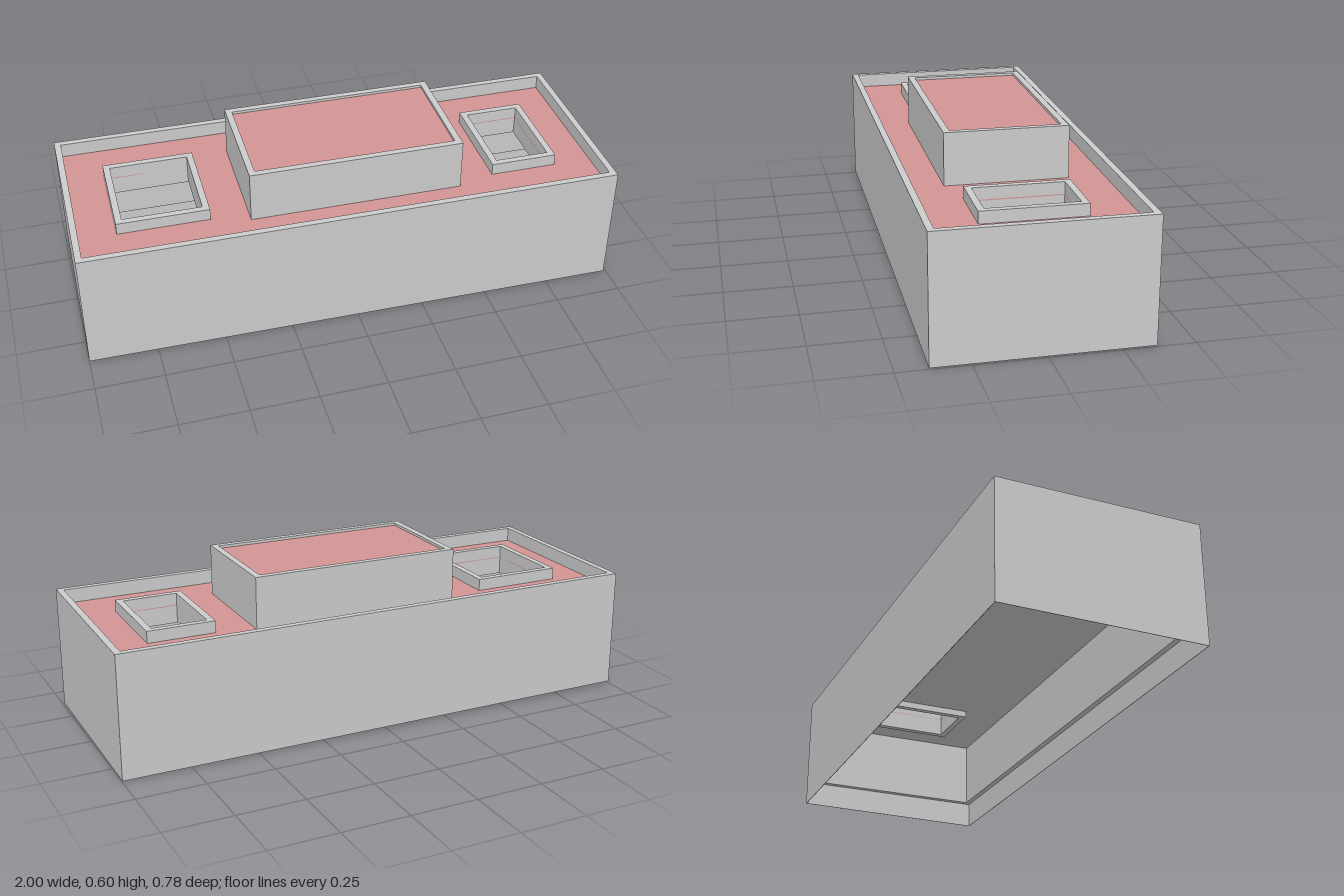
import * as THREE from 'three';

const grey = new THREE.MeshStandardMaterial({ color: 0xcccccc, flatShading: true, side: THREE.DoubleSide });
const red = new THREE.MeshStandardMaterial({ color: 0xd29494, flatShading: true, side: THREE.DoubleSide });

const RIM = 0.024;
const body = { x: 0, z: 0, a: 0.996, b: 0.3765 }; // centre and half sizes
const lobby = { x: 0.04, z: 0.001, a: 0.397, b: 0.223 };
const shafts = [
  { x: -0.666, z: -0.002, a: 0.169, b: 0.186 },
  { x: 0.7025, z: -0.002, a: 0.1255, b: 0.186 },
];

// Rectangle outline on the ground plan, inset by t
function outline({ x, z, a, b }, t, Type) {
  const w = a - t, d = b - t;
  return new Type([[-w, -d], [w, -d], [w, d], [-w, d]]
    .map(([px, pz]) => new THREE.Vector2(x + px, -z + pz)));
}

// Upright slab between two heights, with optional holes
function slab(name, rect, inset, holes, y0, y1, material) {
  const shape = outline(rect, inset, THREE.Shape);
  shape.holes.push(...holes);
  const geometry = new THREE.ExtrudeGeometry(shape, { depth: y1 - y0, bevelEnabled: false });
  geometry.rotateX(-Math.PI / 2).translate(0, y0, 0);
  const mesh = new THREE.Mesh(geometry, material);
  mesh.name = name;
  return mesh;
}

// Hollow rectangular wall
function ring(name, rect, t, y0, y1) {
  return slab(name, rect, 0, [outline(rect, t, THREE.Path)], y0, y1, grey);
}

export function createModel() {
  const group = new THREE.Group();
  group.name = 'flatRoofBuilding';

  // Thick outer wall with its parapet, above a thin skirt
  group.add(ring('outerWall', body, RIM, 0.1, 0.459));
  const skirt = ring('wallSkirt', body, 0.002, 0, 0.1);
  // Skirt foot follows slightly sloping ground
  const p = skirt.geometry.attributes.position;
  for (let i = 0; i < p.count; i++) {
    if (p.getY(i) < 0.05) {
      p.setY(i, 0.004 * (0.996 - p.getX(i)) + 0.006 * (0.3765 - p.getZ(i)));
    }
  }
  group.add(skirt);

  // Main roof, pierced by the light shafts
  const openings = () => shafts.map((s) => outline(s, RIM, THREE.Path));
  group.add(slab('ceiling', body, RIM, openings(), 0.36, 0.402, grey));
  group.add(slab('roofSurface', body, RIM, openings(), 0.402, 0.406, red));

  // Light shafts rise above the roof and hang below the ceiling
  for (const s of shafts) group.add(ring('lightShaft', s, RIM, 0.335, 0.45));

  // Raised upper storey with its own rim and roof
  group.add(ring('upperWall', lobby, RIM, 0.404, 0.598));
  group.add(slab('upperRoof', lobby, RIM, [], 0.58, 0.588, red));

  // Whole building is turned a touch on its plot
  group.rotation.y = -0.0115;
  return group;
}
